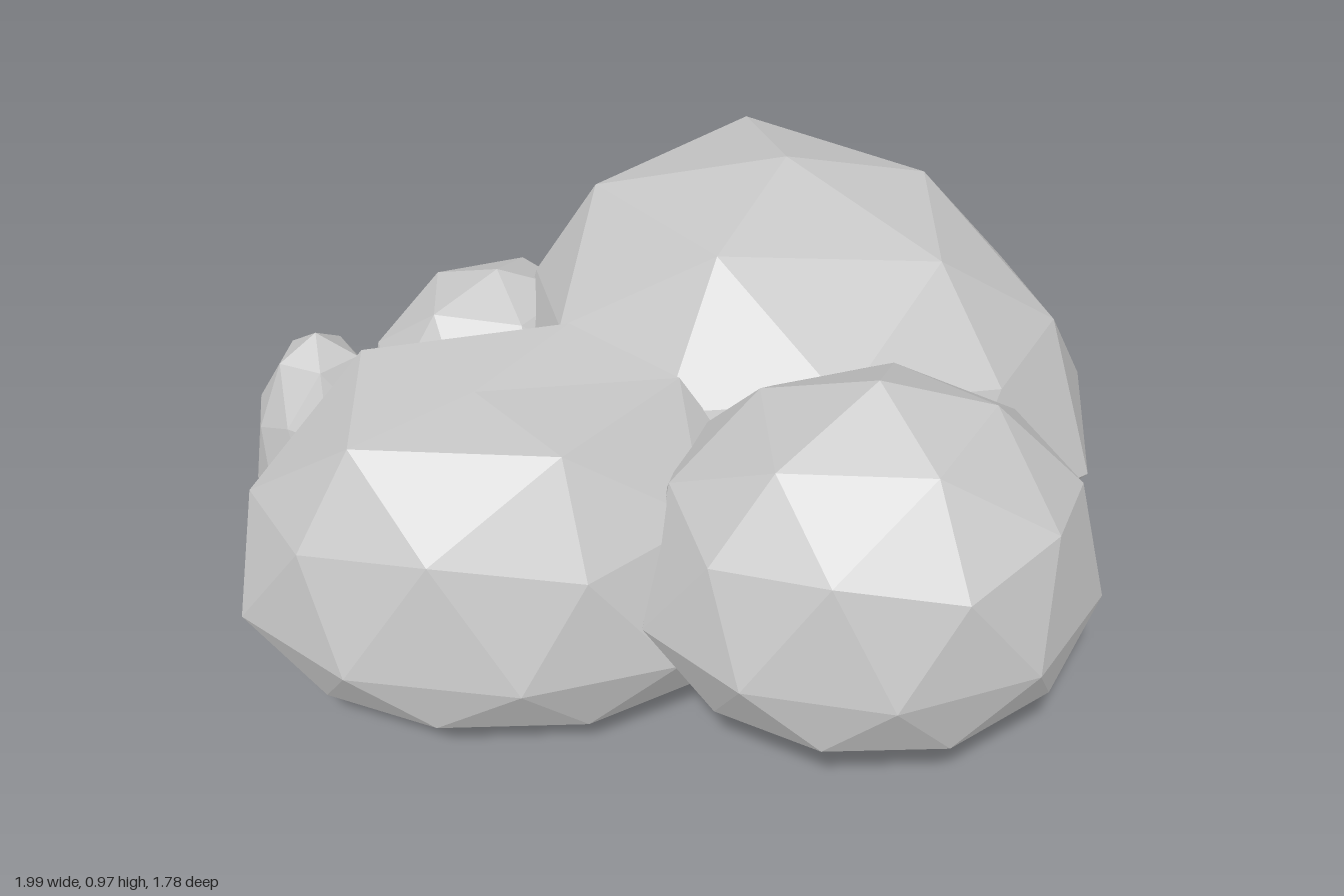
import * as THREE from 'three';

const stone = new THREE.MeshStandardMaterial({ color: 0xc8c8c8, flatShading: true });
stone.name = 'grey stone';

// Faceted boulder: a sphere standing on a pole, with its own radii above and below
// the waist, flattened against min/max planes; "pins" pull the nearest corners to given points.
function rock(name, { center, rx, rz, top, bottom, turn = 0, floor = 0, back = -2, pins = [] }) {
  const geo = new THREE.IcosahedronGeometry(1, 1);
  geo.rotateZ(-Math.atan(2 / (1 + Math.sqrt(5))));
  geo.rotateY(THREE.MathUtils.degToRad(-turn));
  const pos = geo.attributes.position;
  const base = [];
  for (let i = 0; i < pos.count; i++) {
    const y = pos.getY(i);
    base.push(new THREE.Vector3(
      center[0] + pos.getX(i) * rx,
      Math.max(floor, center[1] + y * (y > 0 ? top : bottom)),
      Math.max(back, center[2] + pos.getZ(i) * rz)
    ));
  }
  base.forEach((p, i) => pos.setXYZ(i, p.x, p.y, p.z));
  for (const pin of pins) {
    const target = new THREE.Vector3(...pin);
    const nearest = base.reduce((a, b) => (b.distanceTo(target) < a.distanceTo(target) ? b : a));
    base.forEach((p, i) => {
      if (p.distanceTo(nearest) < 1e-4) pos.setXYZ(i, ...pin);
    });
  }
  geo.computeVertexNormals();
  const mesh = new THREE.Mesh(geo, stone);
  mesh.name = name;
  return mesh;
}

export function createModel() {
  const group = new THREE.Group();
  group.name = 'rockCluster';

  group.add(
    // Largest boulder, cut off flat at the back
    rock('largeBackRock', {
      center: [0.28, 0.34, -0.27], rx: 0.7, rz: 0.64, top: 0.63, bottom: 0.32,
      turn: -22, floor: 0.05, back: -0.89,
      pins: [
        [0.25, 0.97, -0.28],
        [0.07, 0.9, 0.04], [0.57, 0.83, -0.03], [0.59, 0.86, -0.4], [0.2, 0.86, -0.72], [-0.18, 0.85, -0.4],
        [0.12, 0.55, -0.89], [0.81, 0.59, -0.46], [0.53, 0.63, -0.71], [0.865, 0.61, -0.13],
        [0.995, 0.34, -0.31], [0.92, 0.34, 0.11], [0.72, 0.35, -0.67],
        [0.3, 0.34, -0.89], [-0.11, 0.34, -0.89], [-0.34, 0.34, -0.68],
        [0.56, 0.2, -0.68],
      ],
    }),
    // Rounded boulder at the front
    rock('roundFrontRock', {
      center: [0.36, 0.36, 0.46], rx: 0.49, rz: 0.44, top: 0.49, bottom: 0.32, floor: 0.07,
      pins: [
        [0.61, 0.76, 0.43], [0.45, 0.76, 0.67], [0.14, 0.75, 0.62], [0.14, 0.74, 0.31], [0.43, 0.74, 0.23],
        [0.84, 0.36, 0.56], [0.84, 0.36, 0.27], [0.66, 0.36, 0.8], [0.06, 0.36, 0.81], [0.36, 0.36, 0.89],
        [-0.12, 0.36, 0.61],
      ],
    }),
    // Flat-topped boulder beside it
    rock('flatTopRock', {
      center: [-0.39, 0.25, 0.28], rx: 0.59, rz: 0.4, top: 0.54, bottom: 0.29,
      pins: [
        [-0.45, 0.715, 0.25],
        [-0.7, 0.7, 0.05], [-0.7, 0.7, 0.42], [-0.27, 0.72, 0.5], [-0.02, 0.7, 0.2], [-0.25, 0.72, 0],
        [-0.94, 0.49, 0.26], [-0.84, 0.5, 0.02], [-0.54, 0.52, -0.08],
        [-0.98, 0.25, 0.12], [-0.97, 0.25, 0.39], [-0.37, 0.25, 0.68],
        [-0.73, 0.25, -0.08], [-0.4, 0.25, -0.14],
      ],
    }),
    // Two small stones tucked behind
    rock('smallBackRock', {
      center: [-0.42, 0.23, -0.385], rx: 0.35, rz: 0.32, top: 0.41, bottom: 0.26, floor: 0.01,
      pins: [[-0.76, 0.23, -0.45], [-0.76, 0.23, -0.29]],
    }),
    rock('smallestRock', {
      center: [-0.825, 0.25, -0.14], rx: 0.175, rz: 0.16, top: 0.38, bottom: 0.28, turn: 10, floor: 0.01,
      pins: [[-0.7, 0.25, -0.28]],
    })
  );
  return group;
}
